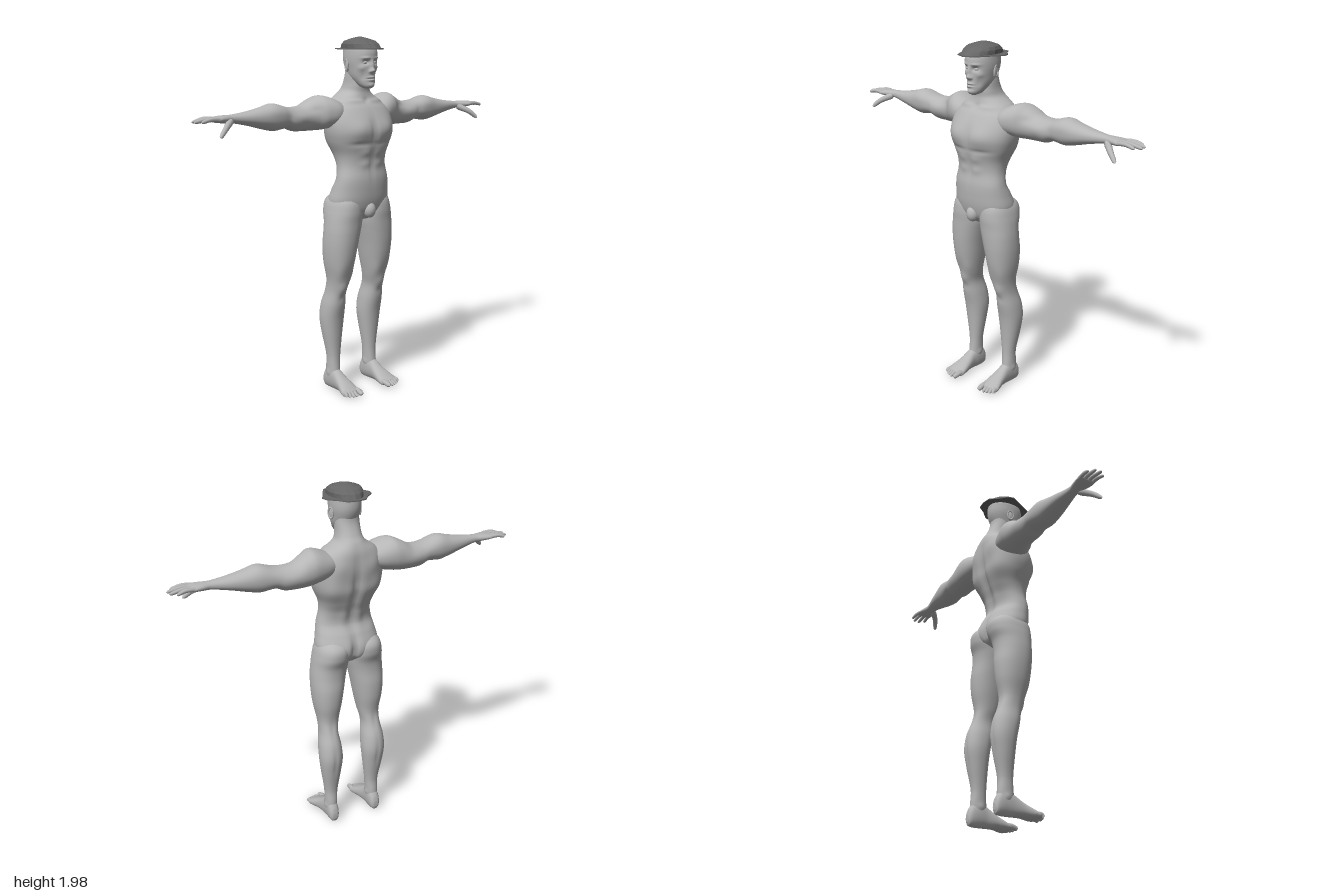
import * as THREE from 'three';

const skin = new THREE.MeshStandardMaterial({ color: 0xb6b6b6 });
skin.name = 'skin grey';
const felt = new THREE.MeshStandardMaterial({ color: 0x666666 });
felt.name = 'hat grey';

// Smooth curve through one column of the section table
function sample(keys, i, u, col) {
  const k = (n) => keys[Math.min(Math.max(n, 0), keys.length - 1)];
  const [p0, p1, p2, p3] = [k(i - 1), k(i), k(i + 1), k(i + 2)];
  const d = p2[0] - p1[0];
  const m1 = ((p2[col] - p0[col]) / (p2[0] - p0[0])) * d;
  const m2 = ((p3[col] - p1[col]) / (p3[0] - p1[0])) * d;
  const u2 = u * u, u3 = u2 * u;
  return (2 * u3 - 3 * u2 + 1) * p1[col] + (u3 - 2 * u2 + u) * m1 +
    (3 * u2 - 2 * u3) * p2[col] + (u3 - u2) * m2;
}

// Soft muscle swellings and grooves: [x, y, z, sx, sy, sz, height], mirrored in x
function sculpt(geo, bumps) {
  geo.computeVertexNormals();
  const p = geo.attributes.position, n = geo.attributes.normal;
  for (let i = 0; i < p.count; i++) {
    let h = 0;
    for (const [x, y, z, sx, sy, sz, amount] of bumps) {
      const q = ((Math.abs(p.getX(i)) - x) / sx) ** 2 + ((p.getY(i) - y) / sy) ** 2 + ((p.getZ(i) - z) / sz) ** 2;
      h += amount * Math.exp(-q);
    }
    p.setXYZ(i, p.getX(i) + n.getX(i) * h, p.getY(i) + n.getY(i) * h, p.getZ(i) + n.getZ(i) * h);
  }
  geo.computeVertexNormals();
}

// Closed loft through sections [t, aMin, aMax, bMin, bMax]; place(t, a, b) gives the point
function loft(keys, place, { sides = 40, steps = 6, power = 2.2, bumps = [] } = {}) {
  const pos = [], idx = [], rings = (keys.length - 1) * steps + 1;
  for (let r = 0; r < rings; r++) {
    const i = Math.min(Math.floor(r / steps), keys.length - 2), u = r / steps - i;
    const t = keys[i][0] + (keys[i + 1][0] - keys[i][0]) * u;
    const [a0, a1, b0, b1] = [1, 2, 3, 4].map((c) => sample(keys, i, u, c));
    for (let j = 0; j < sides; j++) {
      const w = (j / sides) * Math.PI * 2, c = Math.cos(w), s = Math.sin(w);
      const a = Math.sign(c) * Math.abs(c) ** (2 / power), b = Math.sign(s) * Math.abs(s) ** (2 / power);
      pos.push(...place(t, (a0 + a1) / 2 + ((a1 - a0) / 2) * a, (b0 + b1) / 2 + ((b1 - b0) / 2) * b));
    }
  }
  for (const k of [keys[0], keys[keys.length - 1]]) pos.push(...place(k[0], (k[1] + k[2]) / 2, (k[3] + k[4]) / 2));
  const start = rings * sides, last = (rings - 1) * sides;
  for (let j = 0; j < sides; j++) {
    const j2 = (j + 1) % sides;
    for (let r = 0; r < rings - 1; r++) {
      const a = r * sides + j, b = r * sides + j2;
      idx.push(a, b, a + sides, b, b + sides, a + sides);
    }
    idx.push(start, j2, j, start + 1, last + j, last + j2);
  }
  // Turn the faces outward when the enclosed volume comes out negative
  const v = (i) => new THREE.Vector3().fromArray(pos, i * 3);
  let volume = 0;
  for (let i = 0; i < idx.length; i += 3) volume += v(idx[i]).dot(v(idx[i + 1]).cross(v(idx[i + 2])));
  if (volume < 0) idx.reverse();
  const geo = new THREE.BufferGeometry();
  geo.setAttribute('position', new THREE.Float32BufferAttribute(pos, 3));
  geo.setIndex(idx);
  sculpt(geo, bumps);
  return geo;
}

// Round-ended tapering digit along a curve
function digit(points, r, taper = 0.3) {
  const curve = new THREE.CatmullRomCurve3(points.map((p) => new THREE.Vector3(...p)));
  const geo = new THREE.TubeGeometry(curve, 16, r, 10), p = geo.attributes.position, v = new THREE.Vector3();
  for (let i = 0; i < p.count; i++) {
    const u = Math.floor(i / 11) / 16, c = curve.getPointAt(u);
    const f = (1 - taper * u) * Math.sqrt(1 - Math.abs(2 * u - 1) ** 8);
    v.fromBufferAttribute(p, i).sub(c).multiplyScalar(f).add(c);
    p.setXYZ(i, v.x, v.y, v.z);
  }
  return geo;
}

export function createModel() {
  const model = new THREE.Group();
  model.name = 'figure';
  const add = (name, geo, mat = skin) => {
    const mesh = new THREE.Mesh(geo, mat);
    mesh.name = name;
    model.add(mesh);
    return mesh;
  };
  const even = (rows) => rows.map(([y, h, back, front]) => [y, -h, h, back, front]);
  const upright = (y, x, z) => [x, y, z];
  const ball = (name, x, y, z, sx, sy, sz) => {
    const m = add(name, new THREE.SphereGeometry(1, 20, 14));
    m.position.set(x, y, z);
    m.scale.set(sx, sy, sz);
    return m;
  };

  // Torso and neck
  add('torso', loft(even([
    [0.99, 0.05, -0.07, 0.05], [1.03, 0.16, -0.12, 0.085], [1.09, 0.182, -0.135, 0.105], [1.16, 0.172, -0.108, 0.113],
    [1.22, 0.16, -0.075, 0.114], [1.29, 0.148, -0.085, 0.106], [1.35, 0.156, -0.115, 0.113], [1.42, 0.186, -0.143, 0.13],
    [1.48, 0.202, -0.15, 0.137], [1.54, 0.203, -0.155, 0.122], [1.6, 0.185, -0.153, 0.09], [1.645, 0.14, -0.148, 0.055],
    [1.685, 0.083, -0.133, 0.043], [1.72, 0.068, -0.11, 0.045], [1.78, 0.064, -0.085, 0.04], [1.84, 0.058, -0.08, 0.03],
  ]), upright, {
    sides: 72, steps: 8, power: 2.25, bumps: [
      [0.085, 1.49, 0.12, 0.06, 0.05, 0.06, 0.012], [0.08, 1.412, 0.13, 0.07, 0.012, 0.06, -0.006], // chest
      [0, 1.49, 0.13, 0.013, 0.07, 0.06, -0.009], [0, 1.3, 0.11, 0.01, 0.09, 0.05, -0.005],
      [0.045, 1.365, 0.11, 0.03, 0.022, 0.05, 0.005], [0.045, 1.3, 0.11, 0.03, 0.022, 0.05, 0.005], // abdomen
      [0.08, 1.638, 0.04, 0.06, 0.01, 0.05, 0.006], [0, 1.64, 0.05, 0.015, 0.015, 0.03, -0.008], // collarbones
      [0, 1.4, -0.14, 0.022, 0.17, 0.07, -0.022], [0.13, 1.45, -0.12, 0.05, 0.07, 0.06, 0.01],
      [0.1, 1.57, -0.15, 0.045, 0.05, 0.05, 0.008], [0.045, 1.26, -0.08, 0.025, 0.07, 0.04, 0.008], // back
      [0, 1.07, -0.13, 0.018, 0.07, 0.05, -0.03],
    ],
  }));
  ball('groin', 0, 1.045, 0.085, 0.036, 0.045, 0.036);

  // Head with brow, eye sockets, nose, lips and chin
  add('head', loft(even([
    [1.705, 0.014, 0.05, 0.085], [1.715, 0.032, 0.02, 0.1], [1.74, 0.05, -0.02, 0.104], [1.77, 0.064, -0.06, 0.104],
    [1.81, 0.073, -0.083, 0.104], [1.85, 0.08, -0.097, 0.107], [1.89, 0.081, -0.1, 0.109], [1.92, 0.077, -0.095, 0.1],
    [1.94, 0.06, -0.07, 0.08],
  ]), upright, {
    sides: 120, steps: 14, power: 2.15, bumps: [
      [0, 1.83, 0.11, 0.01, 0.028, 0.04, 0.013], [0, 1.802, 0.11, 0.013, 0.013, 0.04, 0.019],
      [0.012, 1.797, 0.11, 0.007, 0.007, 0.03, 0.006], [0.032, 1.845, 0.095, 0.017, 0.012, 0.04, -0.014],
      [0.034, 1.868, 0.1, 0.022, 0.007, 0.04, 0.005], [0.05, 1.815, 0.08, 0.016, 0.016, 0.03, 0.005],
      [0, 1.766, 0.107, 0.02, 0.006, 0.03, 0.007], [0, 1.751, 0.107, 0.017, 0.006, 0.03, 0.007],
      [0, 1.7585, 0.107, 0.024, 0.0025, 0.03, -0.006], [0, 1.725, 0.105, 0.02, 0.012, 0.03, 0.006],
      [0.045, 1.77, 0.08, 0.015, 0.025, 0.03, -0.005],
    ],
  }));

  for (const s of [1, -1]) {
    const side = s > 0 ? 'left' : 'right';
    ball(side + 'Eye', s * 0.031, 1.844, 0.083, 0.014, 0.009, 0.011);
    ball(side + 'Ear', s * 0.081, 1.825, -0.005, 0.008, 0.03, 0.017).rotation.set(-0.15, s * 0.3, 0);
    const rim = add(side + 'EarRim', new THREE.TorusGeometry(0.018, 0.004, 8, 24));
    rim.position.set(s * 0.086, 1.829, -0.006);
    rim.rotation.y = Math.PI / 2 + s * 0.3;
    rim.scale.y = 1.55;

    // Arm from shoulder to palm
    add(side + 'Arm', loft([
      [0.09, 1.54, 1.62, -0.12, 0.02], [0.16, 1.505, 1.652, -0.148, 0.055], [0.23, 1.49, 1.672, -0.163, 0.04],
      [0.28, 1.487, 1.655, -0.163, 0.012], [0.34, 1.487, 1.624, -0.157, -0.003], [0.4, 1.49, 1.617, -0.151, -0.003],
      [0.45, 1.508, 1.622, -0.146, 0], [0.53, 1.5, 1.642, -0.141, 0.002], [0.6, 1.514, 1.626, -0.13, -0.004],
      [0.68, 1.535, 1.61, -0.114, -0.016], [0.78, 1.555, 1.598, -0.092, -0.032], [0.83, 1.558, 1.597, -0.1, -0.02],
      [0.87, 1.562, 1.594, -0.106, -0.008], [0.9, 1.568, 1.588, -0.102, -0.012],
    ], (x, y, z) => [s * x, y, z], {
      sides: 48, bumps: [
        [0.3, 1.6, 0, 0.04, 0.02, 0.04, -0.005], [0.37, 1.56, 0, 0.05, 0.03, 0.03, 0.008],
        [0.36, 1.56, -0.155, 0.06, 0.03, 0.03, 0.006], [0.45, 1.57, 0, 0.025, 0.04, 0.03, -0.006],
        [0.52, 1.6, -0.02, 0.06, 0.025, 0.04, 0.004],
      ],
    }));
    // Fingers and thumb: [base z, tip x, tip z]
    [[-0.02, 0.975, -0.016], [-0.045, 1, -0.046], [-0.07, 0.995, -0.078], [-0.093, 0.965, -0.105]].forEach(([z, tx, tz], i) =>
      add(side + 'Finger' + (i + 1), digit([[s * 0.86, 1.579, z], [s * 0.92, 1.582, (z + tz) / 2], [s * tx, 1.57, tz]], 0.0125)));
    add(side + 'Thumb', digit([[s * 0.79, 1.57, -0.045], [s * 0.85, 1.537, 0.005], [s * 0.898, 1.495, 0.03]], 0.02, 0.45));

    // Leg from hip to ankle
    add(side + 'Leg', loft([
      [1.15, 0.05, 0.14, -0.07, 0.05], [1.1, 0.012, 0.18, -0.135, 0.088], [1.04, 0.003, 0.197, -0.142, 0.097],
      [0.98, 0.006, 0.206, -0.122, 0.093], [0.92, 0.018, 0.212, -0.118, 0.09], [0.84, 0.034, 0.213, -0.124, 0.083],
      [0.75, 0.05, 0.205, -0.119, 0.068], [0.65, 0.07, 0.187, -0.103, 0.038], [0.58, 0.083, 0.185, -0.118, 0.018],
      [0.5, 0.073, 0.198, -0.145, 0.003], [0.42, 0.069, 0.201, -0.154, -0.015], [0.33, 0.078, 0.191, -0.14, -0.026],
      [0.2, 0.095, 0.17, -0.116, -0.034], [0.12, 0.1, 0.168, -0.12, -0.03], [0.05, 0.105, 0.165, -0.12, -0.02],
    ], (y, x, z) => [s * x, y, z], {
      sides: 48, bumps: [
        [0.135, 0.605, 0.025, 0.03, 0.035, 0.03, 0.008], [0.09, 0.68, 0.04, 0.025, 0.05, 0.04, 0.005],
        [0.17, 0.7, 0.04, 0.025, 0.06, 0.04, 0.004], [0.135, 0.55, 0.01, 0.02, 0.02, 0.03, -0.004],
        [0.135, 0.6, -0.11, 0.02, 0.05, 0.03, -0.006], [0.135, 0.4, -0.15, 0.01, 0.08, 0.03, -0.005],
        [0.1, 0.105, -0.075, 0.015, 0.015, 0.02, 0.006], [0.167, 0.095, -0.08, 0.015, 0.015, 0.02, 0.006],
      ],
    }));
    add(side + 'Foot', loft([
      [-0.14, 0.12, 0.15, 0.025, 0.06], [-0.132, 0.11, 0.16, 0.006, 0.09], [-0.11, 0.103, 0.166, 0, 0.125],
      [-0.07, 0.1, 0.168, 0, 0.14], [-0.03, 0.1, 0.17, 0.002, 0.118], [0.02, 0.092, 0.178, 0.004, 0.085],
      [0.06, 0.085, 0.19, 0, 0.063], [0.095, 0.083, 0.198, 0, 0.044], [0.115, 0.09, 0.192, 0.006, 0.034],
    ], (z, x, y) => [s * x, y, z], { sides: 36 }));
    // Toes, biggest on the inside
    for (let i = 0; i < 5; i++) {
      const x = i ? 0.112 + i * 0.0185 : 0.1, tip = 0.149 - i * i * 0.0018, r = i ? 0.011 : 0.016;
      add(side + 'Toe' + (i + 1), digit([[s * x, 0.025, 0.07], [s * x, 0.026, 0.11], [s * (x + 0.003), r, tip]], r, 0.1));
    }
  }

  // Faceted hat crown
  const crown = loft(even([
    [1.916, 0.09, -0.125, 0.145], [1.94, 0.091, -0.11, 0.12], [1.957, 0.083, -0.085, 0.09],
    [1.97, 0.045, -0.05, 0.05], [1.98, 0.004, -0.004, 0.004],
  ]), upright, { sides: 16, steps: 1, power: 2 }).toNonIndexed();
  crown.computeVertexNormals();
  add('hatCrown', crown, felt);

  // Flat hat brim with pointed sides
  const half = [[0, 0.157], [0.06, 0.132], [0.1, 0.06], [0.138, -0.015], [0.13, -0.05], [0.085, -0.09], [0.052, -0.135], [0, -0.143]];
  const outline = [...half, ...half.slice(1, -1).reverse().map(([x, z]) => [-x, z])];
  const brim = new THREE.ExtrudeGeometry(new THREE.Shape(outline.map(([x, z]) => new THREE.Vector2(x, -z))), { depth: 0.005, bevelEnabled: false });
  brim.rotateX(-Math.PI / 2).translate(0, 1.913, 0);
  add('hatBrim', brim, felt);
  return model;
}
